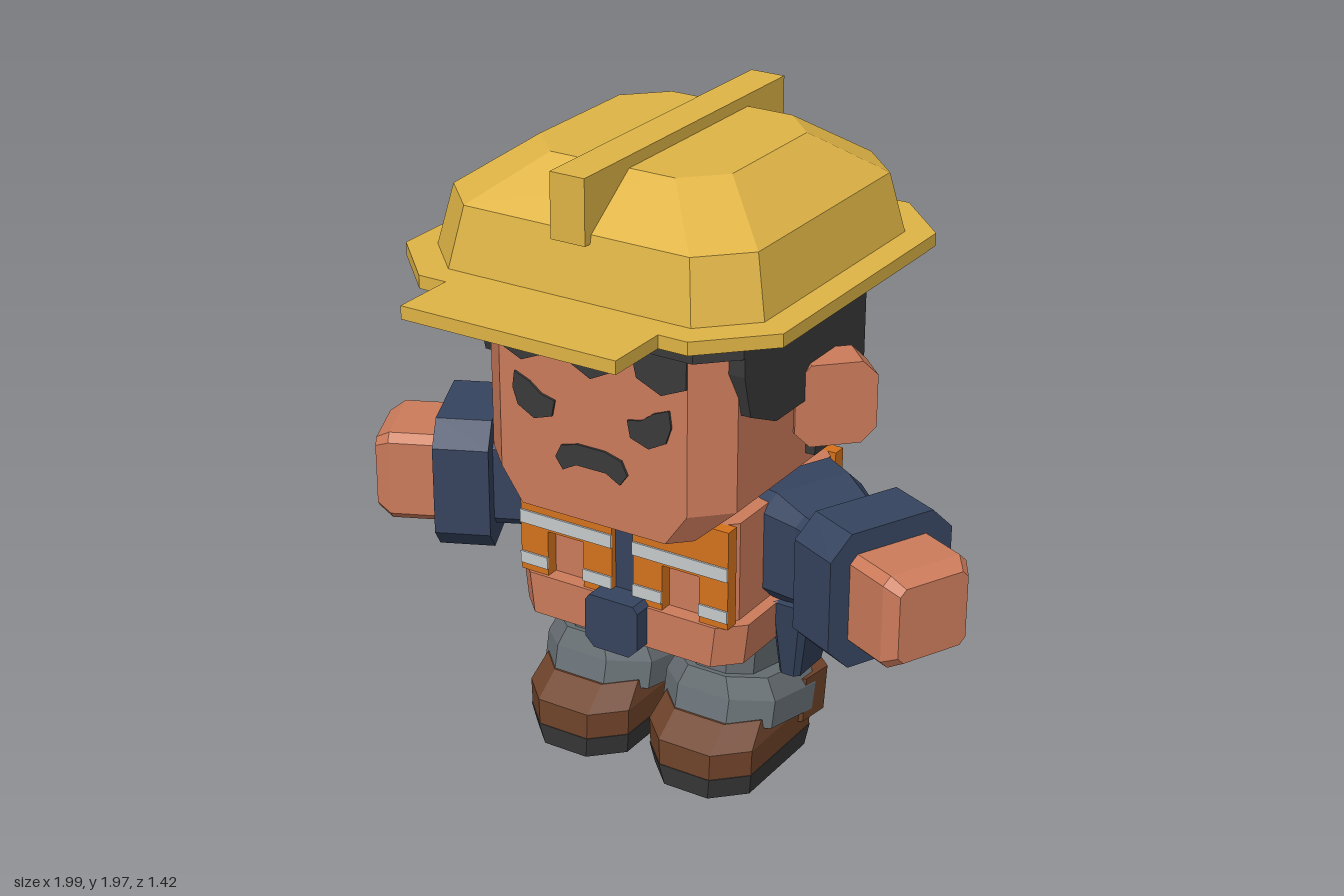
import * as THREE from 'three';

const mat = (name, color) => {
  const m = new THREE.MeshStandardMaterial({ color });
  m.name = name;
  return m;
};

// Octagonal loft along y; section = [y, halfWidth, zBack, zFront, chamfer, centreX]
function loft(sections) {
  const pos = [], idx = [];
  for (const [y, h, z0, z1, c, cx = 0] of sections) {
    const ring = [[h, z0 + c], [h, z1 - c], [h - c, z1], [c - h, z1],
      [-h, z1 - c], [-h, z0 + c], [c - h, z0], [h - c, z0]];
    for (const [x, z] of ring) pos.push(x + cx, y, z);
  }
  const last = (sections.length - 1) * 8;
  for (let s = 0; s < last; s += 8) {
    for (let i = 0; i < 8; i++) {
      const a = s + i, b = s + (i + 1) % 8;
      idx.push(a, a + 8, b, b, a + 8, b + 8);
    }
  }
  for (let i = 1; i < 7; i++) idx.push(0, i, i + 1, last, last + i + 1, last + i);
  const g = new THREE.BufferGeometry();
  g.setAttribute('position', new THREE.Float32BufferAttribute(pos, 3));
  g.setIndex(idx);
  const flat = g.toNonIndexed();
  flat.computeVertexNormals();
  return flat;
}

const shapeOf = (pts) => new THREE.Shape(pts.map(([x, y]) => new THREE.Vector2(x, y)));
const extrude = (pts, depth) =>
  new THREE.ExtrudeGeometry(shapeOf(pts), { depth, bevelEnabled: false });
// Plan outline (x, z) raised from y0 to y1
const plan = (pts, y0, y1) => extrude(pts, y1 - y0).rotateX(Math.PI / 2).translate(0, y1, 0);
// Completes a half outline by mirroring it in x
const mirrored = (pts) => [...pts, ...pts.map(([x, y]) => [-x, y]).reverse()];
const box = (x0, x1, y0, y1, z0, z1) =>
  new THREE.BoxGeometry(Math.abs(x1 - x0), y1 - y0, z1 - z0)
    .translate((x0 + x1) / 2, (y0 + y1) / 2, (z0 + z1) / 2);

export function createModel() {
  const root = new THREE.Group();
  root.name = 'builderFigure';
  const yellow = mat('helmetYellow', 0xdfb446), skin = mat('skin', 0xcc7b5b);
  const black = mat('charcoal', 0x3a3a3a), navy = mat('navyCloth', 0x36445f);
  const grey = mat('trouserGrey', 0x6a7277), orange = mat('vestOrange', 0xd4721c);
  const silver = mat('reflectiveSilver', 0xc6cacc), brown = mat('bootBrown', 0x6f432a);

  const group = (name, parent = root) => {
    const g = new THREE.Group();
    g.name = name;
    parent.add(g);
    return g;
  };
  const add = (parent, name, geo, material) => {
    const m = new THREE.Mesh(geo, material);
    m.name = name;
    parent.add(m);
    return m;
  };

  // Helmet
  const helmet = group('helmet');
  add(helmet, 'brim', plan(mirrored([[0.34, 0.71], [0.34, 0.51], [0.43, 0.51], [0.61, 0.33],
    [0.61, -0.53], [0.43, -0.71]]), 1.583, 1.622), yellow);
  add(helmet, 'dome', loft([[1.62, 0.53, -0.635, 0.43, 0.14], [1.80, 0.49, -0.595, 0.39, 0.13],
    [1.93, 0.31, -0.415, 0.205, 0.11]]), yellow);
  add(helmet, 'ridge', box(-0.055, 0.055, 1.775, 1.965, -0.62, 0.42), yellow);

  // Head and face
  const head = group('head');
  add(head, 'skull', loft([[0.90, 0.30, -0.52, 0.315, 0.06], [1.0, 0.41, -0.52, 0.315, 0.10],
    [1.58, 0.41, -0.52, 0.315, 0.10]]), skin);
  const plate = (name, pts) => add(head, name, extrude(pts, 0.008).translate(0, 0, 0.314), black);
  plate('mouth', mirrored([[0.045, 1.135], [0.10, 1.12], [0.12, 1.08], [0.095, 1.045], [0.05, 1.07]]));
  plate('fringe', mirrored([[0, 1.345], [0.09, 1.39], [0.13, 1.47], [0.15, 1.385],
    [0.23, 1.35], [0.31, 1.385], [0.31, 1.49]]));
  for (const s of [1, -1]) {
    plate('eye', [[0.255, 1.31], [0.205, 1.29], [0.165, 1.26], [0.12, 1.25], [0.13, 1.2],
      [0.19, 1.18], [0.245, 1.21], [0.262, 1.26]].map(([x, y]) => [x * s, y]));
    const ear = add(head, 'ear', loft([[-0.06, 0.12, -0.125, 0.125, 0.045],
      [0.06, 0.12, -0.125, 0.125, 0.045]]).rotateX(Math.PI / 2), skin);
    ear.position.set(s * 0.463, 1.205, -0.207);
    ear.rotation.y = s * Math.PI / 4;
  }

  // Hair
  const hair = group('hair');
  add(hair, 'hairBand', loft([[1.475, 0.44, -0.545, 0.34, 0.10], [1.60, 0.44, -0.545, 0.34, 0.10]]), black);
  add(hair, 'hairBack', plan(mirrored([[0.44, -0.165], [0.44, -0.445], [0.34, -0.545]]), 1.03, 1.48), black);
  add(hair, 'sideburns', extrude([[0.235, 1.48], [0.235, 1.42], [0.2, 1.29], [0.06, 1.225],
    [-0.17, 1.225], [-0.17, 1.48]], 0.88).rotateY(-Math.PI / 2).translate(0.44, 0, 0), black);

  // Torso
  const torso = group('torso');
  add(torso, 'chest', loft([[0.58, 0.352, -0.455, 0.125, 0.03], [0.90, 0.352, -0.455, 0.125, 0.03]]), skin);
  add(torso, 'hips', loft([[0.46, 0.375, -0.52, 0.175, 0.07], [0.59, 0.39, -0.52, 0.175, 0.07]]), skin);
  add(torso, 'shirtFront', box(-0.036, 0.036, 0.59, 0.90, 0.1, 0.145), navy);
  add(torso, 'pouch', extrude(mirrored([[0.075, 0.61], [0.09, 0.59], [0.09, 0.47], [0.06, 0.44]]), 0.12)
    .translate(0, 0, 0.107), navy);

  // Safety vest: front halves with a gap, closed back
  const vest = group('safetyVest');
  for (const s of [1, -1]) {
    for (const [z0, z1, zs, inner] of [[0.12, 0.165, 0.165, 0.036], [-0.495, -0.45, -0.501, 0]]) {
      const piece = (name, x0, x1, y0, y1) =>
        add(vest, name, box(s * x0, s * x1, y0, y1, z0, z1), orange);
      const stripe = (x0, x1, y0, y1) =>
        add(vest, 'reflectiveStripe', box(s * x0, s * x1, y0, y1, zs, zs + 0.006), silver);
      piece('vestPanel', inner, 0.355, 0.735, 0.90);
      piece('innerStrap', inner, 0.135, 0.59, 0.735);
      piece('outerStrap', 0.26, 0.355, 0.59, 0.735);
      stripe(inner, 0.355, 0.745, 0.787);
      stripe(inner, 0.135, 0.612, 0.65);
      stripe(0.26, 0.355, 0.612, 0.65);
    }
  }

  for (const s of [1, -1]) {
    // Arm, swung slightly forward
    const arm = group(s > 0 ? 'leftArm' : 'rightArm');
    arm.position.set(s * 0.69, 0.755, -0.065);
    arm.rotation.y = -s * 0.436;
    const limb = (name, sections, m) =>
      add(arm, name, loft(sections).rotateZ(-s * Math.PI / 2), m);
    limb('sleeve', [[-0.42, 0.165, -0.2, 0.19, 0.05], [-0.30, 0.17, -0.18, 0.17, 0.05],
      [-0.18, 0.145, -0.14, 0.14, 0.03], [0, 0.145, -0.14, 0.14, 0.03]], navy);
    limb('sleeveCuff', [[-0.085, 0.21, -0.21, 0.21, 0.07], [0.085, 0.21, -0.21, 0.21, 0.07]], navy);
    limb('hand', [[0, 0.143, -0.143, 0.143, 0.025], [0.235, 0.143, -0.143, 0.143, 0.025],
      [0.28, 0.115, -0.117, 0.117, 0.02]], skin);

    // Hip holster
    add(root, 'holster', loft([[0.33, 0.035, -0.255, -0.10, 0.015, s * 0.405],
      [0.59, 0.065, -0.30, -0.05, 0.02, s * 0.425]]), navy);

    // Leg and boot
    const leg = group(s > 0 ? 'leftLeg' : 'rightLeg');
    leg.position.x = s * 0.215;
    add(leg, 'trouserLeg', loft([[0.2, 0.10, -0.365, 0.02, 0.06], [0.47, 0.118, -0.365, 0.02, 0.06]]), grey);
    const cuff = add(leg, 'trouserCuff', loft([[-0.075, 0.188, -0.225, 0.225, 0.10],
      [0.01, 0.188, -0.225, 0.225, 0.10], [0.075, 0.155, -0.215, 0.22, 0.09]]), grey);
    cuff.position.set(0, 0.234, -0.155);
    cuff.rotation.x = -0.22;
    const collar = add(leg, 'bootCollar', loft([[-0.07, 0.187, -0.13, 0.14, 0.07],
      [0.07, 0.187, -0.13, 0.14, 0.07]]), brown);
    collar.position.set(0, 0.175, -0.285);
    collar.rotation.x = -0.13;
    add(leg, 'boot', loft([[0.07, 0.175, -0.358, 0.168, 0.09], [0.155, 0.178, -0.36, 0.168, 0.09],
      [0.22, 0.165, -0.34, 0.085, 0.08]]), brown);
    add(leg, 'sole', loft([[0, 0.165, -0.35, 0.158, 0.09], [0.072, 0.177, -0.36, 0.17, 0.09]]), black);
  }
  return root;
}
